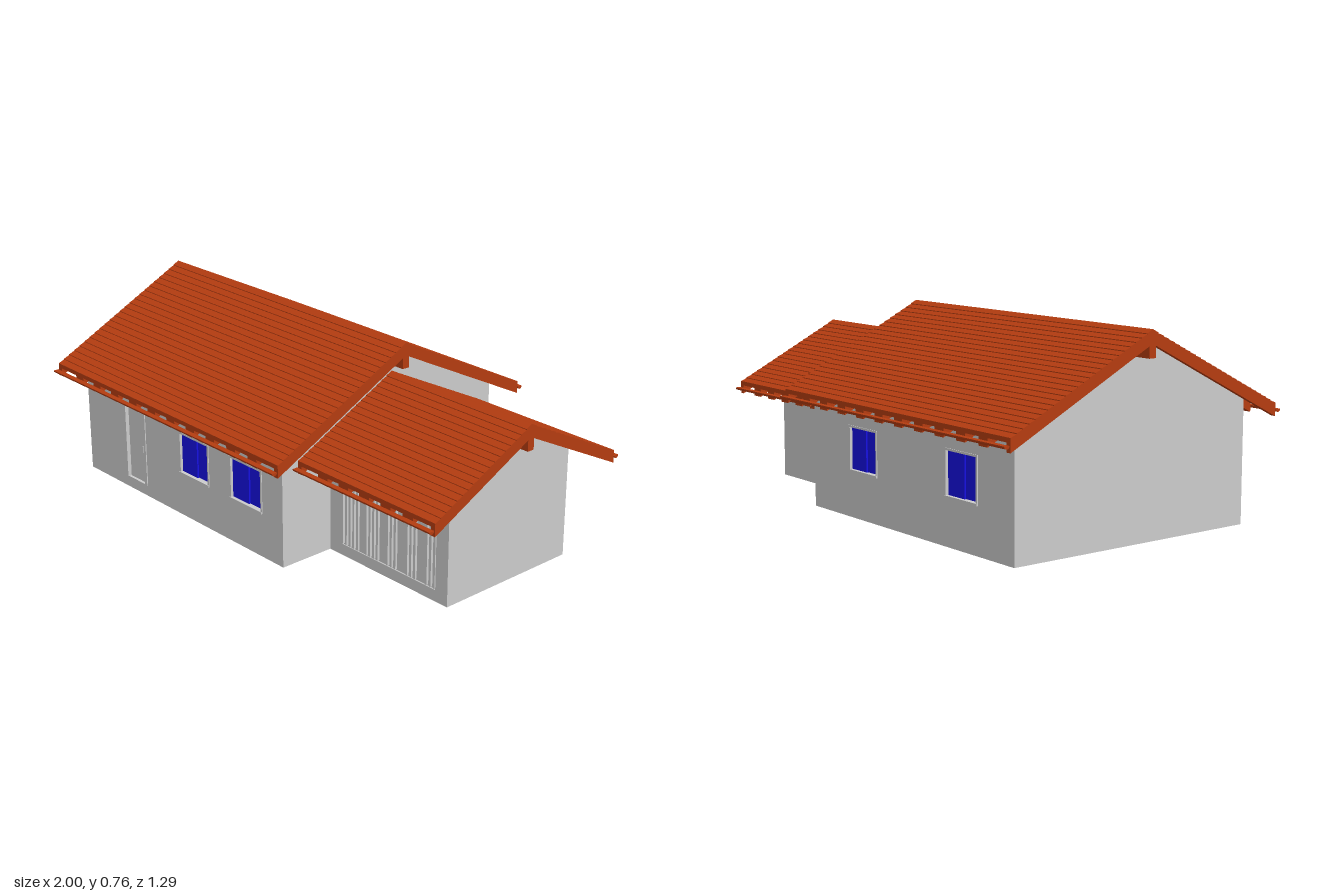
import * as THREE from 'three';

const GREY = new THREE.MeshStandardMaterial({ color: 0xcccccc, flatShading: true });
const TILE = new THREE.MeshStandardMaterial({ color: 0xb43c10, flatShading: true });
const GLASS = new THREE.MeshStandardMaterial({ color: 0x1610e0 });
const SLOPE = 0.5;

function mesh(parent, name, geometry, material = GREY) {
  const m = new THREE.Mesh(geometry, material);
  m.name = name;
  parent.add(m);
  return m;
}

// Box given by its limits
function box(parent, name, x0, x1, y0, y1, z0, z1, material) {
  const m = mesh(parent, name, new THREE.BoxGeometry(x1 - x0, y1 - y0, z1 - z0), material);
  m.position.set((x0 + x1) / 2, (y0 + y1) / 2, (z0 + z1) / 2);
  return m;
}

const polygon = (pts) => new THREE.Shape(pts.map(([x, y]) => new THREE.Vector2(x, y)));

// Extrude a (z, y) section along x
function alongX(parent, name, shape, x0, x1, material) {
  const g = new THREE.ExtrudeGeometry(shape, { depth: x1 - x0, bevelEnabled: false, curveSegments: 8 });
  g.rotateY(-Math.PI / 2).translate(x1, 0, 0);
  return mesh(parent, name, g, material);
}

// Inverted V band between two heights below the ridge line
function gable(ridge, half, top, bottom) {
  const e = ridge - SLOPE * half;
  return polygon([[0, ridge - bottom], [half, e - bottom], [half, e - top],
    [0, ridge - top], [-half, e - top], [-half, e - bottom]]);
}

// Roof: stepped tile rows, rafters, verge boards, ridge beam and gutters
function roof(name, x0, x1, ridge, half, rows) {
  const g = new THREE.Group();
  g.name = name;
  const side = [];
  for (let i = 0; i < rows; i++) {
    const a = (half * i) / rows, b = (half * (i + 1)) / rows;
    side.push([a, ridge - SLOPE * a - (i ? 0.003 : 0)], [b, ridge - SLOPE * b]);
  }
  const end = ridge - SLOPE * half - 0.017;
  const left = side.slice(1).reverse().map(([z, y]) => [-z, y]);
  alongX(g, 'tiles', polygon([...left, ...side, [half, end], [0, ridge - 0.017], [-half, end]]), x0, x1, TILE);

  const count = Math.round((x1 - x0) / 0.125), step = (x1 - x0 - 0.05) / count;
  for (let i = 1; i < count; i++) {
    const x = x0 + i * step;
    alongX(g, 'rafter', gable(ridge, half - 0.002, 0.015, 0.05), x, x + 0.05, TILE);
  }
  for (const x of [x0, x1 - 0.02])
    alongX(g, 'vergeBoard', gable(ridge, half, 0.008, 0.05), x, x + 0.02, TILE);
  box(g, 'ridgeBeam', x0, x1, ridge - 0.1, ridge - 0.03, -0.015, 0.015, TILE);

  for (const s of [-1, 1]) {
    const arc = new THREE.Shape();
    arc.absarc(0, 0, 0.011, Math.PI, 2 * Math.PI);
    const m = alongX(g, 'gutter', arc, x0, x1, TILE);
    m.position.set(0, ridge - SLOPE * half - 0.025, s * (half + 0.015));
  }
  return g;
}

// Solid body with a pitched top
function body(parent, name, x0, x1, half, ridge) {
  const top = ridge - 0.016, eave = top - SLOPE * half;
  alongX(parent, name, polygon([[-half, 0], [half, 0], [half, eave], [0, top], [-half, eave]]), x0, x1);
}

// Facade panel facing +z with its openings cut out
function facade(parent, name, x0, x1, height, z, depth, openings) {
  const shape = polygon([[x0, 0], [x1, 0], [x1, height], [x0, height]]);
  for (const [a, b, c, d] of openings)
    shape.holes.push(new THREE.Path([[a, c], [a, d], [b, d], [b, c]].map((p) => new THREE.Vector2(...p))));
  const geo = new THREE.ExtrudeGeometry(shape, { depth, bevelEnabled: false });
  mesh(parent, name, geo.translate(0, 0, z - depth));
}

// Sliding window with two panes, surround and sill
function windowUnit(parent, [x0, x1, y0, y1], z) {
  const g = new THREE.Group();
  g.name = 'window';
  parent.add(g);
  const mid = (x0 + x1) / 2, t = 0.008;
  box(g, 'leftPane', x0, mid + 0.008, y0, y1, z - 0.025, z - 0.008, GLASS);
  box(g, 'rightPane', mid, x1, y0, y1, z - 0.025, z - 0.015, GLASS);
  for (const [a, b] of [[x0 - t, x0], [x1, x1 + t]])
    box(g, 'windowJamb', a, b, y0 - t, y1 + t, z - 0.01, z + 0.003);
  box(g, 'windowHead', x0, x1, y1, y1 + t, z - 0.01, z + 0.003);
  box(g, 'windowSill', x0 - t, x1 + t, y0 - t, y0, z - 0.01, z + 0.006);
}

export function createModel() {
  const model = new THREE.Group();
  model.name = 'house';

  // Main house
  const X0 = -0.92, X1 = 0.305, Z = 0.535, D = 0.025, ridge = 0.764;
  body(model, 'mainWalls', X0, X1, Z - D, ridge);
  const wallTop = ridge - 0.016 - SLOPE * Z;
  const front = [[-0.3, -0.132, 0.183, 0.342], [0.01, 0.182, 0.183, 0.342]];
  const door = [-0.657, -0.543, 0.045, 0.352];
  facade(model, 'frontWall', X0, X1, wallTop, Z, D, [...front, door]);
  front.forEach((w) => windowUnit(model, w, Z));

  // Rear wall, turned to face backwards
  const rear = new THREE.Group();
  rear.name = 'rear';
  rear.rotation.y = Math.PI;
  model.add(rear);
  const back = [[-0.055, 0.113, 0.183, 0.342], [0.545, 0.715, 0.183, 0.342]];
  facade(rear, 'backWall', -X1, -X0, wallTop, Z, D, back);
  back.forEach((w) => windowUnit(rear, w, Z));

  // Front door
  const entry = new THREE.Group();
  entry.name = 'frontDoor';
  model.add(entry);
  box(entry, 'doorLeaf', door[0], door[1], door[2], door[3], Z - D, Z - 0.012);
  for (const x of [door[0] - 0.015, door[1]])
    box(entry, 'doorJamb', x, x + 0.015, door[2], 0.367, Z - 0.015, Z + 0.004);
  box(entry, 'doorHead', door[0], door[1], door[3], 0.367, Z - 0.015, Z + 0.004);
  box(entry, 'doorHandle', -0.558, -0.552, 0.18, 0.205, Z - 0.012, Z);

  // Garage wing
  const WZ = 0.305, wingRidge = 0.634;
  body(model, 'wingWalls', X1, 0.915, WZ - 0.02, wingRidge);
  const wingTop = wingRidge - 0.016 - SLOPE * WZ;
  facade(model, 'wingFrontWall', X1, 0.915, wingTop, WZ, 0.02, [[0.372, 0.856, 0.045, 0.365]]);
  box(model, 'wingBackWall', X1, 0.915, 0, wingTop, -WZ, 0.02 - WZ);

  // Garage door with groups of upright slats
  const garage = new THREE.Group();
  garage.name = 'garageDoor';
  model.add(garage);
  box(garage, 'garagePanel', 0.372, 0.856, 0.045, 0.365, WZ - 0.02, WZ - 0.005);
  for (const [start, n] of [[0.372, 5], [0.498, 4], [0.61, 3], [0.71, 3], [0.808, 3]])
    for (let i = 0; i < n; i++) {
      const x = start + i * 0.02;
      box(garage, 'garageSlat', x, x + 0.008, 0.05, 0.365, WZ - 0.006, WZ + 0.004);
    }

  // Roofs
  model.add(roof('mainRoof', -1, 0.38, ridge, 0.617, 24));
  model.add(roof('wingRoof', 0.305, 1, wingRidge, 0.46, 18));
  return model;
}
